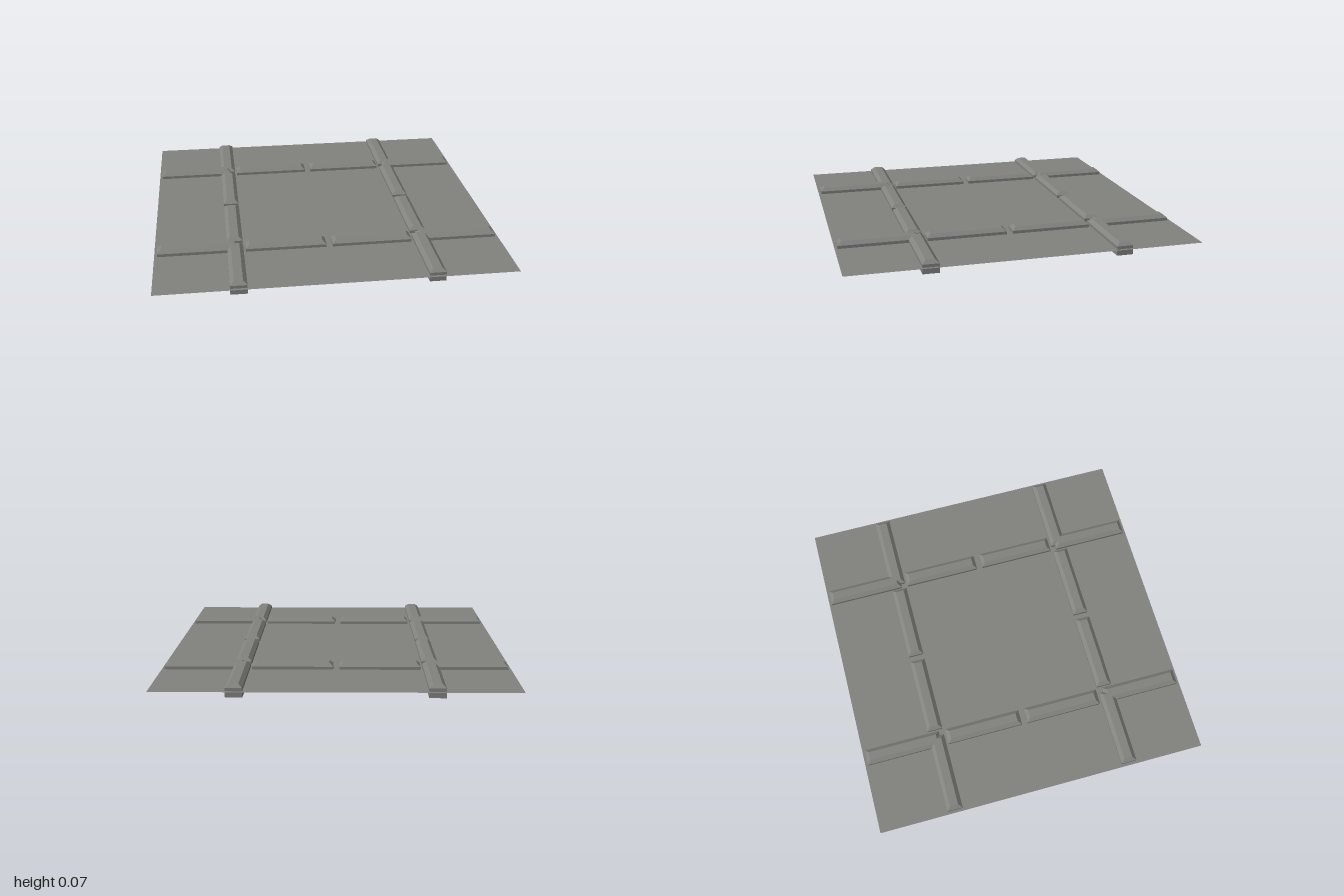
import * as THREE from 'three';

const TOP = 0.072, SHOULDER = 0.053, BEVEL = 0.022, GROUND = 0.036;
const INNER = 0.495, OUTER = 0.588, END = 0.983;

// Upright prism over an outline of [x, z] right-angled corners, with a bevelled top
function bevelledPrism(outline) {
  const pts = outline.map(([x, z]) => new THREE.Vector2(x, z));
  if (THREE.ShapeUtils.isClockWise(pts)) pts.reverse();
  const n = pts.length;
  const inward = (a, b) => {
    const d = b.clone().sub(a).normalize();
    return new THREE.Vector2(-d.y, d.x);
  };
  const inset = pts.map((p, i) => p.clone()
    .addScaledVector(inward(pts[(i + n - 1) % n], p), BEVEL)
    .addScaledVector(inward(p, pts[(i + 1) % n]), BEVEL));

  const positions = [], index = [];
  [[pts, 0], [pts, SHOULDER], [inset, TOP]].forEach(([ring, y]) =>
    ring.forEach((p) => positions.push(p.x, y, p.y)));
  for (let r = 0; r < 2; r++) {
    for (let i = 0; i < n; i++) {
      const a = r * n + i, b = r * n + (i + 1) % n;
      index.push(a, b + n, b, a, a + n, b + n);
    }
  }
  for (const [a, b, c] of THREE.ShapeUtils.triangulateShape(pts, [])) index.push(a, b, c);
  for (const [a, b, c] of THREE.ShapeUtils.triangulateShape(inset, [])) {
    index.push(2 * n + a, 2 * n + c, 2 * n + b);
  }
  const indexed = new THREE.BufferGeometry();
  indexed.setAttribute('position', new THREE.Float32BufferAttribute(positions, 3));
  indexed.setIndex(index);
  const geometry = indexed.toNonIndexed();
  geometry.computeVertexNormals();
  return geometry;
}

export function createModel() {
  const model = new THREE.Group();
  model.name = 'pavedCrossing';
  const concrete = new THREE.MeshStandardMaterial({ color: 0x82827f, side: THREE.DoubleSide });
  concrete.name = 'concreteGrey';

  const add = (name, geometry) => {
    const mesh = new THREE.Mesh(geometry, concrete);
    mesh.name = name;
    model.add(mesh);
    return mesh;
  };

  // Thin ground sheet running through the middle of the kerbs
  const ground = add('groundSheet', new THREE.PlaneGeometry(2, 2));
  ground.rotation.x = -Math.PI / 2;
  ground.position.y = GROUND;

  // Corner kerb: an L with a small notch at the tip facing the centre
  const notch = INNER + 0.027;
  const corner = [
    [INNER, END], [OUTER, END], [OUTER, OUTER], [END, OUTER],
    [END, INNER], [notch, INNER], [notch, notch], [INNER, notch],
  ];
  // Straight kerb between a corner and the middle of a side
  const straight = [[0.018, INNER], [0.482, INNER], [0.482, OUTER], [0.018, OUTER]];

  for (const sx of [-1, 1]) {
    for (const sz of [-1, 1]) {
      const place = (outline) => bevelledPrism(outline.map(([x, z]) => [x * sx, z * sz]));
      add('cornerKerb', place(corner));
      add('straightKerbAlongX', place(straight));
      add('straightKerbAlongZ', place(straight.map(([x, z]) => [z, x])));
    }
  }
  return model;
}
